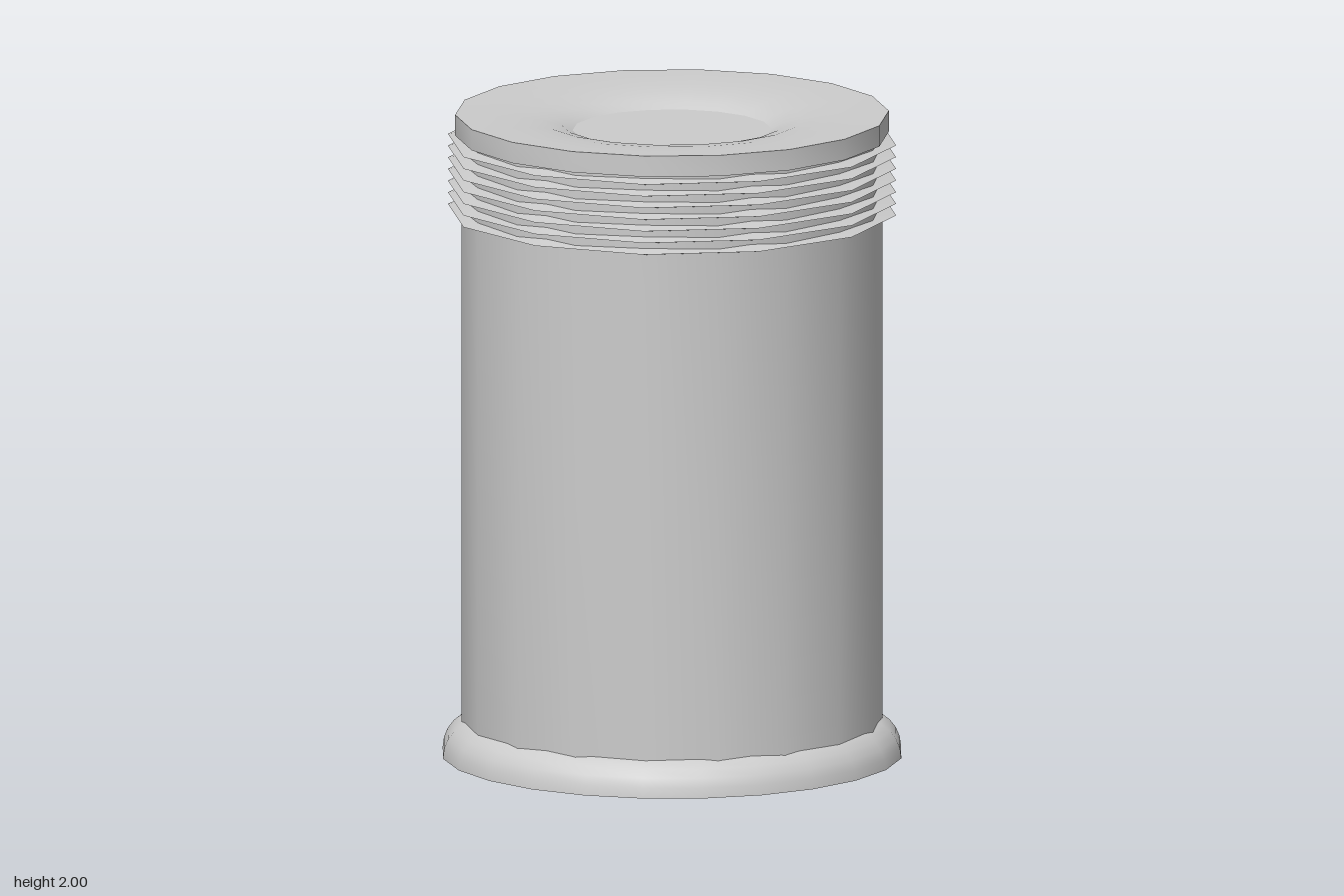
import * as THREE from 'three';
import { toCreasedNormals } from 'three/addons/utils/BufferGeometryUtils.js';

const material = new THREE.MeshStandardMaterial({ color: 0xcccccc });

// Revolve a bottom-to-top profile with a vertex on the x axis
function turned(name, points, sides, crease = 0.75) {
  const profile = points.map(([r, y]) => new THREE.Vector2(r, y));
  const lathe = new THREE.LatheGeometry(profile, sides);
  lathe.rotateY(Math.PI / 2);
  const mesh = new THREE.Mesh(toCreasedNormals(lathe, crease), material);
  mesh.name = name;
  return mesh;
}

export function createModel() {
  const model = new THREE.Group();
  model.name = 'canister';

  // Rounded foot: a half-round rim closed by a flat underside
  const foot = [[0, 0]];
  for (let i = 0; i <= 6; i++) {
    const a = (i / 6) * Math.PI / 2;
    foot.push([0.588 + 0.12 * Math.cos(a), 0.12 * Math.sin(a)]);
  }
  foot.push([0, 0.12]);
  model.add(turned('foot', foot, 24));

  // Straight body
  model.add(turned('body', [[0.645, 0.02], [0.645, 1.94]], 18));

  // Stack of thin, sharp-edged thread rings
  const threads = new THREE.Group();
  threads.name = 'threads';
  for (let i = 0; i < 7; i++) {
    const y = 1.697 + i * 0.0365;
    threads.add(turned('threadRing',
      [[0.62, y - 0.015], [0.692, y], [0.62, y + 0.015]], 12, 0.6));
  }
  model.add(threads);

  // Lid with a dished top that steepens toward a flat centre disc
  model.add(turned('lid', [
    [0, 1.935], [0.665, 1.935], [0.665, 2], [0.57, 1.997], [0.48, 1.991],
    [0.4, 1.981], [0.34, 1.966], [0.305, 1.948],
  ], 18));
  model.add(turned('lidCentre', [[0.305, 1.948], [0, 1.948]], 18));

  return model;
}
